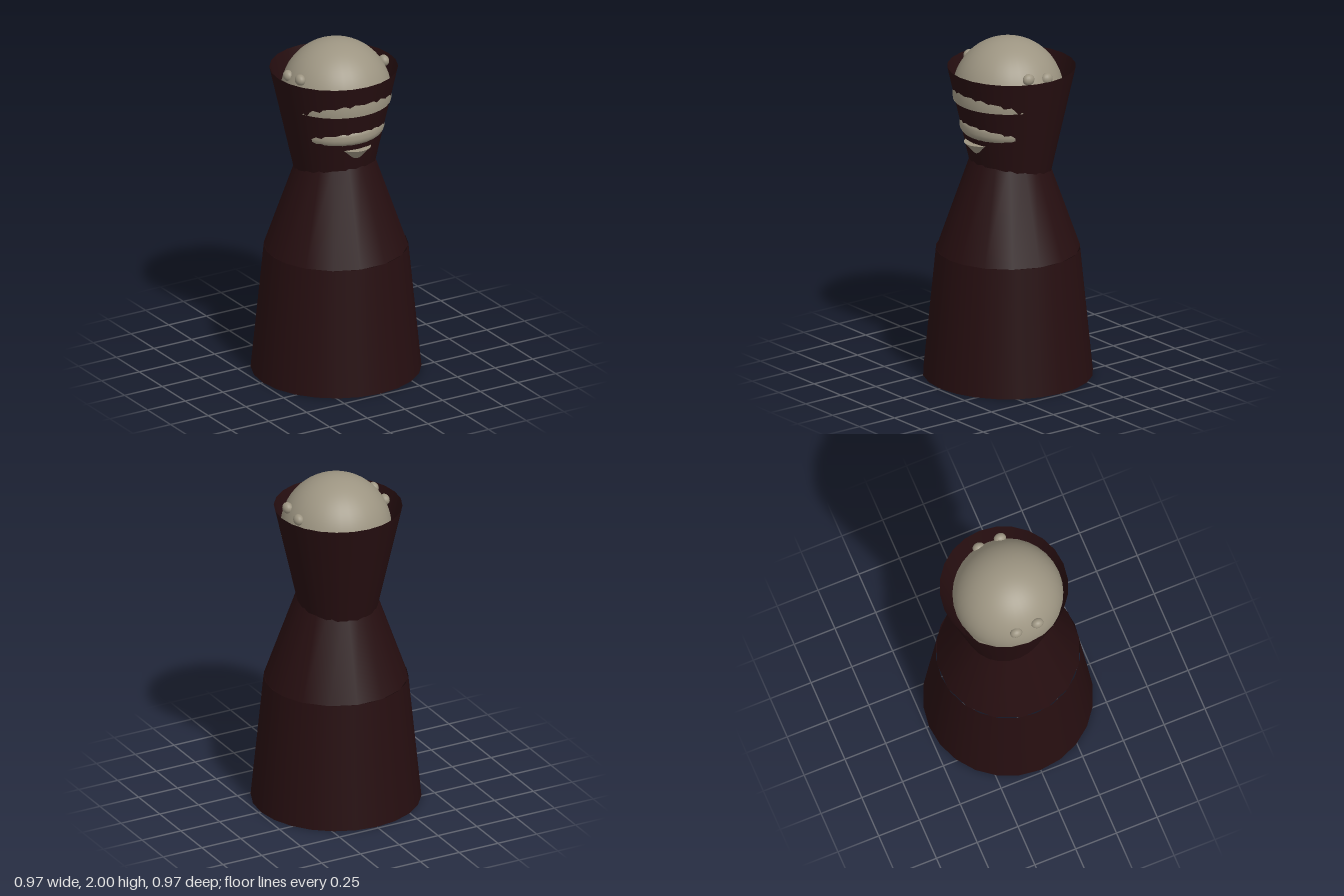
import * as THREE from 'three';

export function createModel() {
  const group = new THREE.Group();
  const cloth = new THREE.MeshStandardMaterial({ name: 'dark maroon cloth', color: 0x260e10, side: THREE.DoubleSide });
  const skin = new THREE.MeshStandardMaterial({ name: 'stone grey skin', color: 0x9d9582, side: THREE.DoubleSide });

  const add = (name, geometry, material, x = 0, y = 0, z = 0) => {
    const mesh = new THREE.Mesh(geometry, material);
    mesh.name = name;
    mesh.position.set(x, y, z);
    group.add(mesh);
    return mesh;
  };

  // Open-ended tapered tube between two heights
  const taper = (name, rBottom, rTop, y0, y1, sides, z = 0, turn = 0) =>
    add(name, new THREE.CylinderGeometry(rTop, rBottom, y1 - y0, sides, 1, true, turn), cloth, 0, (y0 + y1) / 2, z);

  // Robe and flared collar
  taper('robeSkirt', 0.484, 0.41, 0, 0.75, 24);
  taper('robeShoulders', 0.41, 0.206, 0.75, 1.33, 16, 0, Math.PI / 16);
  taper('collar', 0.213, 0.365, 1.15, 1.83, 24, -0.025);

  // Skull dome, cut flat just under its widest ring
  const r = 0.315;
  add('skull', new THREE.SphereGeometry(r, 32, 24, 0, Math.PI * 2, 0, Math.acos(-0.04 / r)), skin, 0, 1.685);
  const base = add('skullBase', new THREE.CircleGeometry(0.3125, 32), skin, 0, 1.645);
  base.rotation.x = Math.PI / 2;

  // Rounded jaw that breaks through the collar front
  const jaw = [[0, 1.445], [0.25, 1.448], [0.263, 1.458], [0.272, 1.472], [0.276, 1.49],
    [0.275, 1.51], [0.272, 1.53], [0.25, 1.55], [0, 1.56]];
  add('jaw', new THREE.LatheGeometry(jaw.map(([x, y]) => new THREE.Vector2(x, y)), 32), skin);

  // Pointed chin
  const chin = add('chin', new THREE.ConeGeometry(0.1, 0.11, 24), skin, 0, 1.365, 0.19);
  chin.rotation.x = Math.PI;
  chin.rotation.order = 'XYZ';

  // Two small knobs on each side of the skull
  for (const side of [1, -1]) {
    for (const [name, y, z] of [['frontKnob', 1.837, 0.065], ['backKnob', 1.817, -0.065]]) {
      const knob = add(name, new THREE.SphereGeometry(0.036, 16, 12), skin, side * 0.277, y, z);
      knob.scale.set(0.8, 0.9, 1);
    }
  }
  return group;
}
